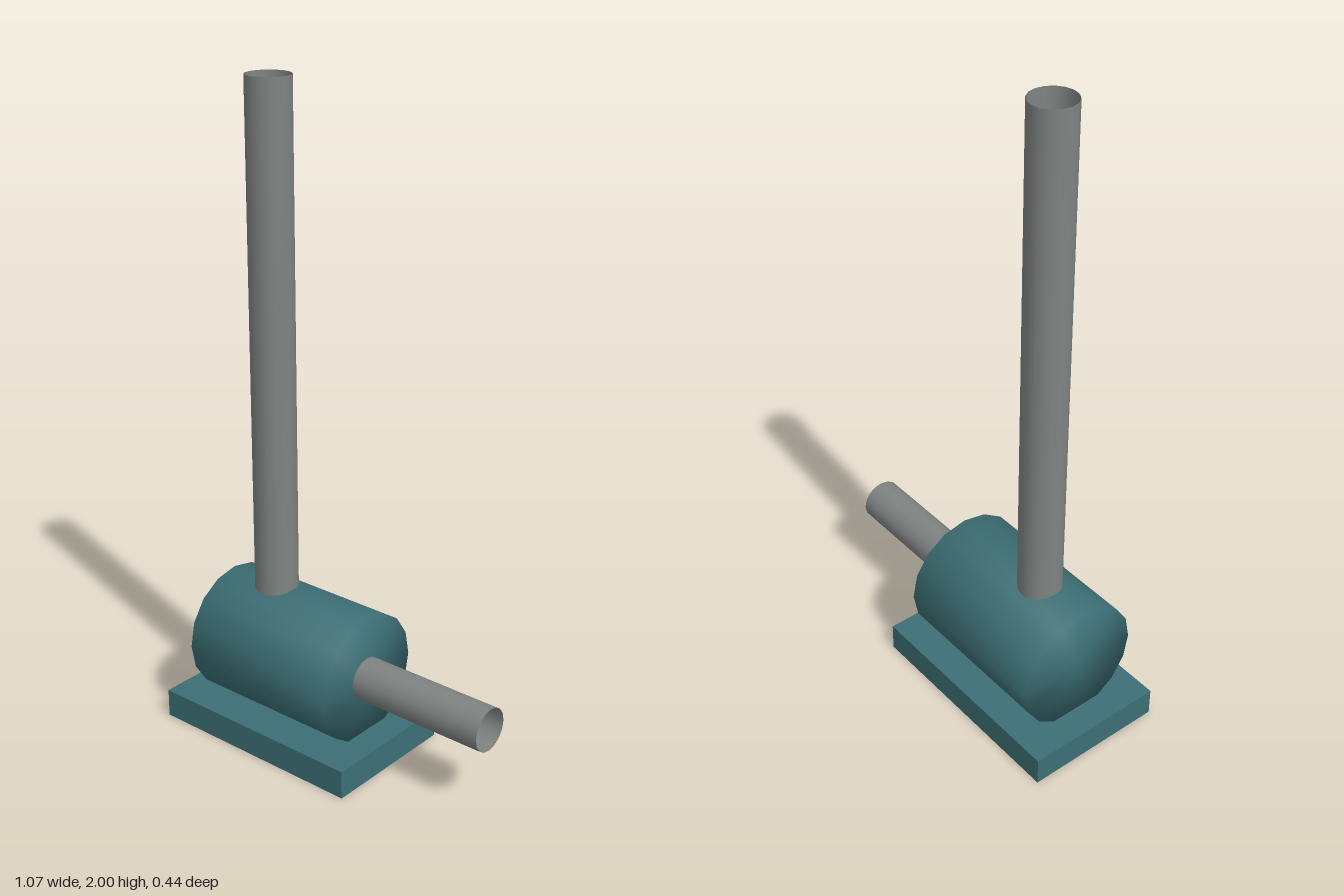
import * as THREE from 'three';
import { mergeVertices } from 'three/addons/utils/BufferGeometryUtils.js';

export function createModel() {
  const model = new THREE.Group();
  model.name = 'pump';

  const teal = new THREE.MeshStandardMaterial({ color: 0x3c6f75 });
  teal.name = 'teal paint';
  const steel = new THREE.MeshStandardMaterial({ color: 0x7f8482, side: THREE.DoubleSide });
  steel.name = 'grey steel';

  const add = (name, geometry, material, x, y) => {
    const mesh = new THREE.Mesh(geometry, material);
    mesh.name = name;
    mesh.position.set(x, y, 0);
    model.add(mesh);
    return mesh;
  };

  const axisY = 0.267; // height of the motor's axis
  const pipeRadius = 0.0667;

  // Rectangular mounting plate
  add('basePlate', new THREE.BoxGeometry(0.711, 0.089, 0.444), teal, -0.178, 0.0445);

  // Drum lying along x, its caps smoothed into the side
  let drum = new THREE.CylinderGeometry(0.2, 0.2, 0.533, 16);
  drum.deleteAttribute('normal');
  drum.deleteAttribute('uv');
  drum = mergeVertices(drum);
  drum.computeVertexNormals();
  drum.rotateZ(-Math.PI / 2);
  add('motorBody', drum, teal, -0.178, axisY);

  // Open pipes: a tall one rising from the drum and a short one out of its end
  const pipe = (length) => new THREE.CylinderGeometry(pipeRadius, pipeRadius, length, 16, 1, true);
  add('outletPipe', pipe(1.56), steel, -0.267, 1.22);
  add('inletPipe', pipe(0.454).rotateZ(-Math.PI / 2), steel, 0.306, axisY);

  return model;
}
